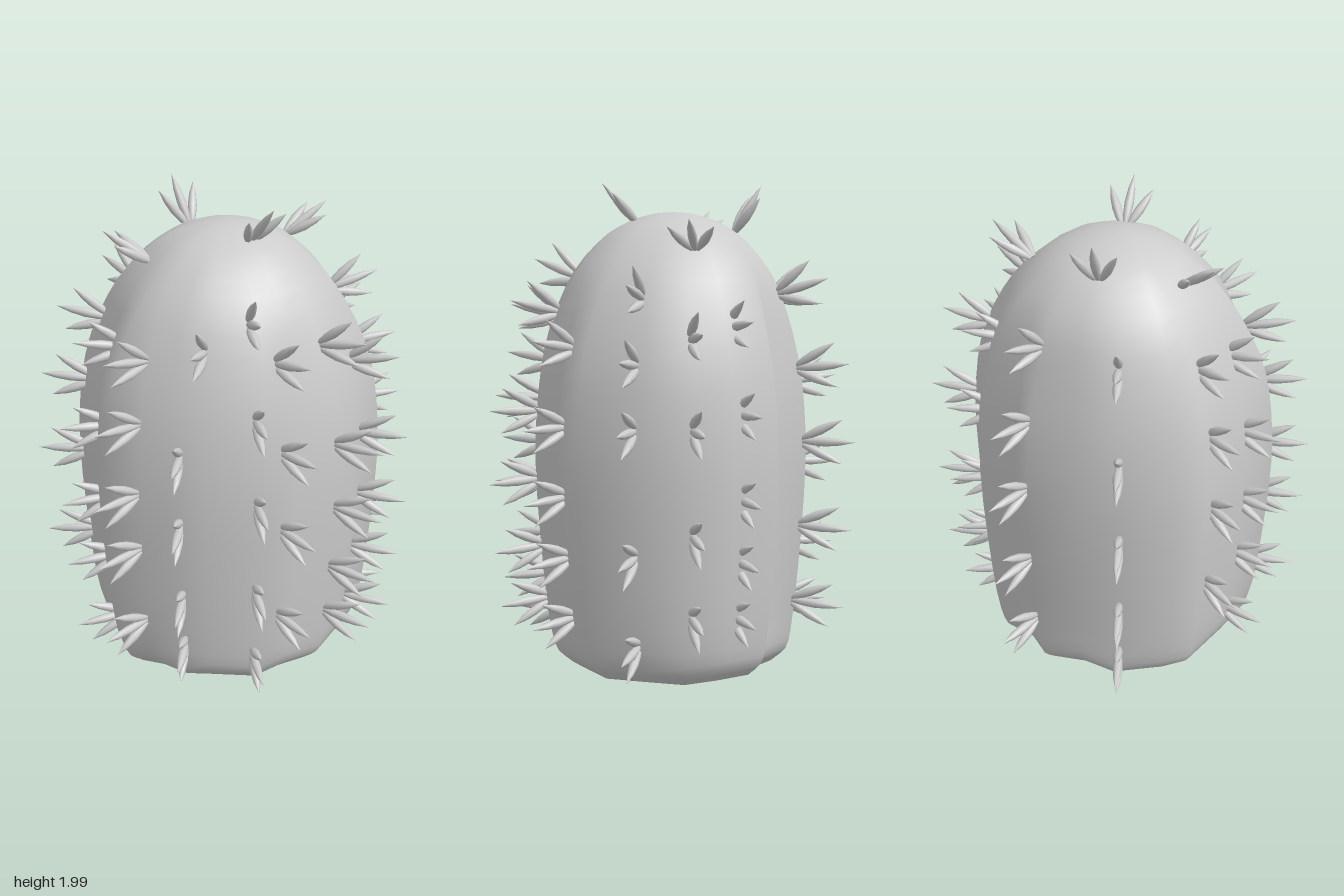
import * as THREE from 'three';

const ROWS = 28;

// Ribbed cross-section (x, z) at the widest height
const ring = [
  [-0.01, -0.565], [0.13, -0.48], [0.29, -0.525], [0.43, -0.39], [0.585, -0.25], [0.575, -0.05],
  [0.605, 0.2], [0.465, 0.34], [0.36, 0.475], [0.19, 0.5], [0.04, 0.6], [-0.19, 0.51],
  [-0.33, 0.49], [-0.43, 0.37], [-0.565, 0.325], [-0.565, 0.14], [-0.595, -0.16], [-0.53, -0.26],
  [-0.36, -0.45], [-0.16, -0.45],
].map(([x, z]) => new THREE.Vector3(x, 0, z));
const SEG = ring.length;

// Side profile: width factor against height
const profile = [
  [0.76, 0.01], [0.8, 0.03], [0.88, 0.08], [0.915, 0.2], [0.965, 0.5], [1, 0.85], [0.985, 1.1], [0.935, 1.3],
  [0.84, 1.5], [0.72, 1.65], [0.53, 1.77], [0.34, 1.835], [0.15, 1.868], [0, 1.875],
];
const profileCurve = new THREE.CatmullRomCurve3(
  profile.map(([s, y]) => new THREE.Vector3(s, y, 0)), false, 'catmullrom', 0.5);

// Ribs fade into a round dome at the top and soften at the foot
function surfacePoint(p, s, y) {
  const fade = THREE.MathUtils.smoothstep(y, 1.3, 1.85) * 0.85
    + (1 - THREE.MathUtils.smoothstep(y, 0, 0.25)) * 0.4;
  const r = p.length();
  const k = s * THREE.MathUtils.lerp(r, 0.555, fade) / r;
  return new THREE.Vector3(p.x * k, y, p.z * k);
}

function widthAt(y) {
  const i = Math.max(1, profile.findIndex((q) => q[1] >= y));
  const [s0, y0] = profile[i - 1], [s1, y1] = profile[i];
  return s0 + (s1 - s0) * (y - y0) / (y1 - y0);
}

// Where a direction from the axis meets the cross-section
function ringPoint(x, z) {
  for (let i = 0; i < SEG; i++) {
    const a = ring[i], b = ring[(i + 1) % SEG];
    const ca = a.x * z - a.z * x, cb = b.x * z - b.z * x;
    if (ca * cb <= 0 && a.x * x + a.z * z > 0) return a.clone().lerp(b, ca / (ca - cb));
  }
}

function bodyGeometry() {
  const pos = [], index = [];
  for (let j = 0; j <= ROWS; j++) {
    const q = profileCurve.getPoint(j / ROWS);
    for (const p of ring) pos.push(...surfacePoint(p, Math.max(q.x, 0.0005), q.y).toArray());
  }
  for (let j = 0; j < ROWS; j++) {
    for (let i = 0; i < SEG; i++) {
      const a = j * SEG + i, b = j * SEG + (i + 1) % SEG;
      index.push(a, a + SEG, b, b, a + SEG, b + SEG);
    }
  }
  // Flat underside
  const centre = pos.length / 3;
  pos.push(0, 0, 0);
  for (let i = 0; i < SEG; i++) index.push(centre, i, (i + 1) % SEG);
  const g = new THREE.BufferGeometry();
  g.setAttribute('position', new THREE.Float32BufferAttribute(pos, 3));
  g.setIndex(index);
  g.computeVertexNormals();
  return g;
}

// Columns of spines: base direction (x, z), facing (x, z), depth in the body, heights
const columns = [
  [[0, 0.57], [0, 1], 0.025, [1.6, 1.25, 0.9, 0.5, 0.18]],
  [[0.1, 0.48], [0.1, 0.19], 0.02, [1.45, 1.1, 0.76, 0.35]],
  [[0.32, 0.43], [0.18, 0.18], 0.012, [1.48, 1.08, 0.8, 0.52, 0.3]],
  [[0.48, 0.29], [0.17, 0.1], 0.02, [1.35, 1.04, 0.76, 0.51, 0.26]],
  [[0.55, -0.02], [1, 0], 0.02, [1.55, 1.3, 1.05, 0.55, 0.18]],
  [[0.53, -0.24], [0.17, -0.1], 0.025, [1.4, 1.06, 0.65, 0.32]],
  [[0.37, -0.39], [0.11, -0.11], 0.085, [1.43, 1.1, 0.77, 0.52, 0.29]],
  [[0, -0.57], [0, -1], 0.005, [1.55, 1.25, 0.95, 0.6, 0.28]],
  [[-0.35, -0.4], [-0.16, -0.22], 0.01, [1.52, 1.15, 0.8, 0.45, 0.2]],
  [[-0.55, -0.1], [-0.27, -0.07], 0.035, [1.47, 1.2, 0.88, 0.5]],
  [[-0.55, 0.15], [-0.24, 0.03], 0.06, [1.43, 1.1, 0.78, 0.5, 0.2]],
  [[-0.4, 0.36], [-0.25, 0.15], -0.02, [1.45, 1.2, 0.9, 0.65, 0.3]],
  [[-0.28, 0.48], [-0.07, 0.2], 0.015, [1.1, 0.8, 0.46, 0.23]],
  [[-0.17, 0.42], [-0.09, 0.18], 0.02, [1.5]],
];

// Crown fans: base, direction
const crown = [
  [[0.07, 1.83, 0.13], [0.06, 0.16, 0.13]],
  [[-0.1, 1.79, -0.23], [-0.05, 0.17, -0.09]],
  [[0.29, 1.74, -0.18], [0.18, 0.12, -0.03]],
  [[-0.31, 1.74, 0.02], [-0.17, 0.12, -0.03]],
];

export function createModel() {
  const model = new THREE.Group();
  const mat = new THREE.MeshStandardMaterial({ color: 0xcccccc });
  const body = new THREE.Mesh(bodyGeometry(), mat);
  body.name = 'ribbedBody';
  model.add(body);

  // Spindle-shaped spine of unit length
  const spineGeo = new THREE.LatheGeometry(
    [[0, 0], [0.009, 0], [0.016, 0.22], [0.019, 0.45], [0.014, 0.72], [0.0005, 1]]
      .map(([x, y]) => new THREE.Vector2(x, y)), 8);

  // Flat fan of three spines, spread towards the given side direction
  function addFan(name, base, dir, side) {
    const fan = new THREE.Group();
    fan.name = name;
    fan.position.copy(base);
    for (const k of [-1, 0, 1]) {
      const d = dir.clone().multiplyScalar(Math.cos(k * 0.44)).addScaledVector(side, Math.sin(k * 0.44));
      const spine = new THREE.Mesh(spineGeo, mat);
      spine.name = 'spine';
      spine.scale.y = k ? 0.185 : 0.22;
      spine.quaternion.setFromUnitVectors(new THREE.Vector3(0, 1, 0), d);
      spine.position.copy(side).multiplyScalar(k * 0.012);
      fan.add(spine);
    }
    model.add(fan);
  }

  // Side fans stand upright along each rib
  for (const [[bx, bz], [fx, fz], depth, heights] of columns) {
    const rib = ringPoint(bx, bz);
    const out = new THREE.Vector3(fx, 0, fz).normalize();
    for (const y of heights) {
      const base = surfacePoint(rib, widthAt(y), y).addScaledVector(out, -depth);
      const slope = (widthAt(y + 0.06) - widthAt(y - 0.06)) / 0.12 * 0.57;
      const tilt = Math.atan(-slope) * 0.75;
      const dir = out.clone().multiplyScalar(Math.cos(tilt)).setY(Math.sin(tilt));
      const side = out.clone().multiplyScalar(-Math.sin(tilt)).setY(Math.cos(tilt));
      addFan('sideSpines', base, dir, side);
    }
  }

  // Crown fans open sideways
  for (const [b, d] of crown) {
    const dir = new THREE.Vector3(...d).normalize();
    const side = new THREE.Vector3(0, 1, 0).cross(dir).normalize();
    addFan('crownSpines', new THREE.Vector3(...b), dir, side);
  }
  return model;
}
